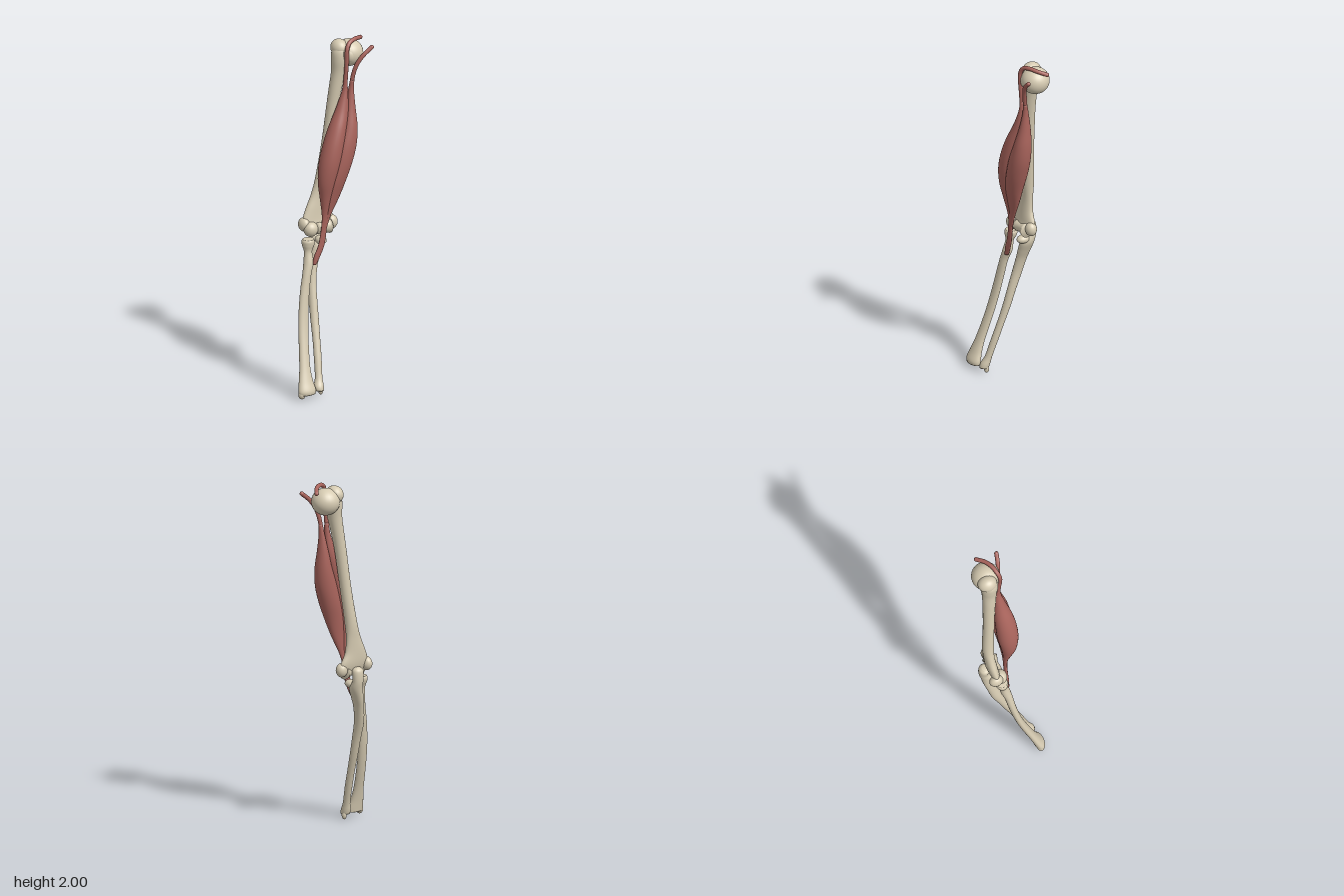
import * as THREE from 'three';

const V = (x, y, z) => new THREE.Vector3(x, y, z);

// Smooth closed loft through horizontal elliptical rings [x, y, z, rx, rz], listed top to bottom.
function loft(rings, sides = 28, perSpan = 6) {
  const centre = new THREE.CatmullRomCurve3(rings.map(r => V(r[0], r[1], r[2])), false, 'catmullrom');
  const radius = new THREE.CatmullRomCurve3(rings.map(r => V(r[3], r[4], 0)), false, 'catmullrom');
  const n = (rings.length - 1) * perSpan;
  const pos = [], idx = [];
  for (let i = 0; i <= n; i++) {
    const c = centre.getPoint(i / n), r = radius.getPoint(i / n);
    for (let j = 0; j < sides; j++) {
      const a = j / sides * Math.PI * 2;
      pos.push(c.x + r.x * Math.cos(a), c.y, c.z + r.y * Math.sin(a));
    }
  }
  for (let i = 0; i < n; i++) for (let j = 0; j < sides; j++) {
    const a = i * sides + j, b = i * sides + (j + 1) % sides;
    idx.push(a, b, a + sides, b, b + sides, a + sides);
  }
  // End caps
  const top = pos.length / 3, last = n * sides;
  const first = rings[0], end = rings[rings.length - 1];
  pos.push(first[0], first[1], first[2], end[0], end[1], end[2]);
  for (let j = 0; j < sides; j++) {
    const k = (j + 1) % sides;
    idx.push(top, k, j, top + 1, last + j, last + k);
  }
  const g = new THREE.BufferGeometry();
  g.setAttribute('position', new THREE.Float32BufferAttribute(pos, 3));
  g.setIndex(idx);
  g.computeVertexNormals();
  return g;
}

export function createModel() {
  const bone = new THREE.MeshStandardMaterial({ color: 0xd6cbb2 });
  bone.name = 'bone';
  const muscle = new THREE.MeshStandardMaterial({ color: 0xa9645c });
  muscle.name = 'muscle';

  const model = new THREE.Group();
  model.name = 'armAnatomy';
  const group = name => {
    const g = new THREE.Group();
    g.name = name;
    model.add(g);
    return g;
  };
  const add = (parent, name, geometry, material) => {
    const m = new THREE.Mesh(geometry, material);
    m.name = name;
    parent.add(m);
    return m;
  };
  const blob = (parent, name, p, r, material = bone) => {
    const m = add(parent, name, new THREE.SphereGeometry(1, 28, 20), material);
    m.position.set(...p);
    m.scale.set(...r);
    return m;
  };

  // Upper arm bone
  const humerus = group('humerus');
  add(humerus, 'humerusShaft', loft([
    [0.118, 1.955, -0.04, 0.035, 0.035],
    [0.118, 1.92, -0.04, 0.052, 0.048],
    [0.115, 1.87, -0.04, 0.052, 0.05],
    [0.105, 1.8, -0.043, 0.041, 0.042],
    [0.088, 1.7, -0.05, 0.036, 0.037],
    [0.074, 1.6, -0.058, 0.033, 0.034],
    [0.05, 1.4, -0.07, 0.032, 0.032],
    [0.024, 1.2, -0.085, 0.036, 0.033],
    [0.006, 1.1, -0.088, 0.049, 0.029],
    [-0.01, 1.02, -0.085, 0.073, 0.03],
    [-0.008, 0.96, -0.08, 0.1, 0.03],
    [-0.006, 0.92, -0.072, 0.1, 0.028],
    [-0.004, 0.895, -0.068, 0.075, 0.018],
  ]), bone);
  blob(humerus, 'humeralHead', [0.17, 1.902, -0.037], [0.08, 0.076, 0.08]);
  blob(humerus, 'greaterTubercle', [0.115, 1.935, -0.05], [0.047, 0.05, 0.055]);
  blob(humerus, 'lesserTubercle', [0.15, 1.9, 0.005], [0.04, 0.045, 0.035]);
  blob(humerus, 'capitulum', [-0.072, 0.912, -0.052], [0.042, 0.042, 0.038]);
  blob(humerus, 'lateralEpicondyle', [-0.095, 0.935, -0.085], [0.03, 0.04, 0.04]);
  blob(humerus, 'medialEpicondyle', [0.078, 0.925, -0.07], [0.034, 0.04, 0.032]);
  const spool = [[0, -0.05], [0.036, -0.05], [0.037, -0.03], [0.031, 0], [0.04, 0.03], [0.044, 0.045], [0, 0.05]];
  const trochlea = add(humerus, 'trochlea',
    new THREE.LatheGeometry(spool.map(p => new THREE.Vector2(...p)), 28), bone);
  trochlea.rotation.z = -Math.PI / 2;
  trochlea.position.set(0.01, 0.91, -0.062);

  // Inner forearm bone
  const ulna = group('ulna');
  add(ulna, 'ulnaShaft', loft([
    [0, 0.935, -0.115, 0.018, 0.016],
    [0, 0.915, -0.117, 0.034, 0.03],
    [0.002, 0.86, -0.12, 0.032, 0.028],
    [-0.003, 0.81, -0.1, 0.036, 0.04],
    [-0.022, 0.75, -0.092, 0.031, 0.038],
    [-0.04, 0.69, -0.084, 0.026, 0.033],
    [-0.058, 0.6, -0.067, 0.025, 0.03],
    [-0.067, 0.5, -0.038, 0.024, 0.025],
    [-0.075, 0.4, -0.01, 0.024, 0.022],
    [-0.085, 0.3, 0.022, 0.022, 0.02],
    [-0.097, 0.2, 0.054, 0.022, 0.02],
    [-0.111, 0.1, 0.084, 0.021, 0.02],
    [-0.121, 0.055, 0.1, 0.028, 0.027],
    [-0.122, 0.03, 0.107, 0.025, 0.026],
  ]), bone);
  blob(ulna, 'coronoidProcess', [0.004, 0.833, -0.068], [0.03, 0.024, 0.04]);
  blob(ulna, 'ulnarStyloid', [-0.108, 0.025, 0.1], [0.013, 0.025, 0.015]);

  // Outer forearm bone
  const radius = group('radius');
  add(radius, 'radiusShaft', loft([
    [-0.09, 0.86, -0.05, 0.031, 0.031],
    [-0.091, 0.847, -0.05, 0.037, 0.036],
    [-0.092, 0.825, -0.049, 0.034, 0.033],
    [-0.096, 0.79, -0.044, 0.023, 0.023],
    [-0.1, 0.73, -0.033, 0.029, 0.027],
    [-0.118, 0.67, -0.022, 0.026, 0.023],
    [-0.138, 0.58, -0.012, 0.028, 0.021],
    [-0.157, 0.47, 0.004, 0.03, 0.02],
    [-0.172, 0.37, 0.024, 0.03, 0.02],
    [-0.186, 0.27, 0.05, 0.03, 0.021],
    [-0.2, 0.17, 0.08, 0.033, 0.022],
    [-0.208, 0.1, 0.102, 0.043, 0.026],
    [-0.21, 0.05, 0.118, 0.054, 0.031],
    [-0.209, 0.025, 0.12, 0.051, 0.028],
  ]), bone);
  blob(radius, 'radialStyloid', [-0.245, 0.028, 0.119], [0.02, 0.024, 0.02]);

  // Two muscle bellies, tapering into the lower tendon
  const biceps = group('biceps');
  add(biceps, 'longHeadAndLowerTendon', loft([
    [0.113, 1.76, 0.014, 0.012, 0.012],
    [0.11, 1.7, 0.012, 0.017, 0.018],
    [0.09, 1.6, 0.014, 0.037, 0.034],
    [0.055, 1.5, 0.02, 0.051, 0.051],
    [0.024, 1.4, 0.024, 0.059, 0.059],
    [0, 1.3, 0.024, 0.06, 0.059],
    [-0.016, 1.2, 0.021, 0.05, 0.046],
    [-0.019, 1.1, 0.013, 0.032, 0.028],
    [-0.016, 1.0, 0.004, 0.019, 0.013],
    [-0.02, 0.92, 0, 0.018, 0.01],
    [-0.035, 0.83, -0.002, 0.02, 0.01],
    [-0.058, 0.77, -0.007, 0.02, 0.012],
    [-0.076, 0.72, -0.012, 0.012, 0.012],
  ]), muscle);
  add(biceps, 'shortHead', loft([
    [0.154, 1.76, 0.02, 0.012, 0.012],
    [0.15, 1.7, 0.014, 0.016, 0.018],
    [0.142, 1.6, 0.014, 0.031, 0.034],
    [0.131, 1.5, 0.02, 0.048, 0.05],
    [0.108, 1.4, 0.024, 0.063, 0.058],
    [0.08, 1.3, 0.024, 0.064, 0.057],
    [0.049, 1.2, 0.021, 0.06, 0.045],
    [0.027, 1.1, 0.013, 0.045, 0.027],
    [0.005, 1.0, 0.004, 0.02, 0.012],
    [-0.015, 0.92, 0, 0.012, 0.008],
  ]), muscle);

  // Upper tendons with rounded tips
  const tendon = (name, points, r) => {
    const pts = points.map(p => V(...p));
    add(biceps, name, new THREE.TubeGeometry(new THREE.CatmullRomCurve3(pts), 60, r, 12), muscle);
    blob(biceps, name + 'Tip', points[points.length - 1], [r, r, r], muscle);
  };
  tendon('longHeadTendon', [
    [0.111, 1.72, 0.013], [0.114, 1.8, 0.018], [0.115, 1.88, 0.025], [0.117, 1.945, 0.026],
    [0.138, 1.978, 0.018], [0.18, 1.988, 0.004], [0.22, 1.982, -0.018], [0.258, 1.968, -0.056],
  ], 0.012);
  tendon('shortHeadTendon', [
    [0.151, 1.72, 0.015], [0.158, 1.79, 0.024], [0.174, 1.85, 0.037], [0.205, 1.9, 0.052], [0.255, 1.944, 0.064],
  ], 0.012);

  return model;
}
